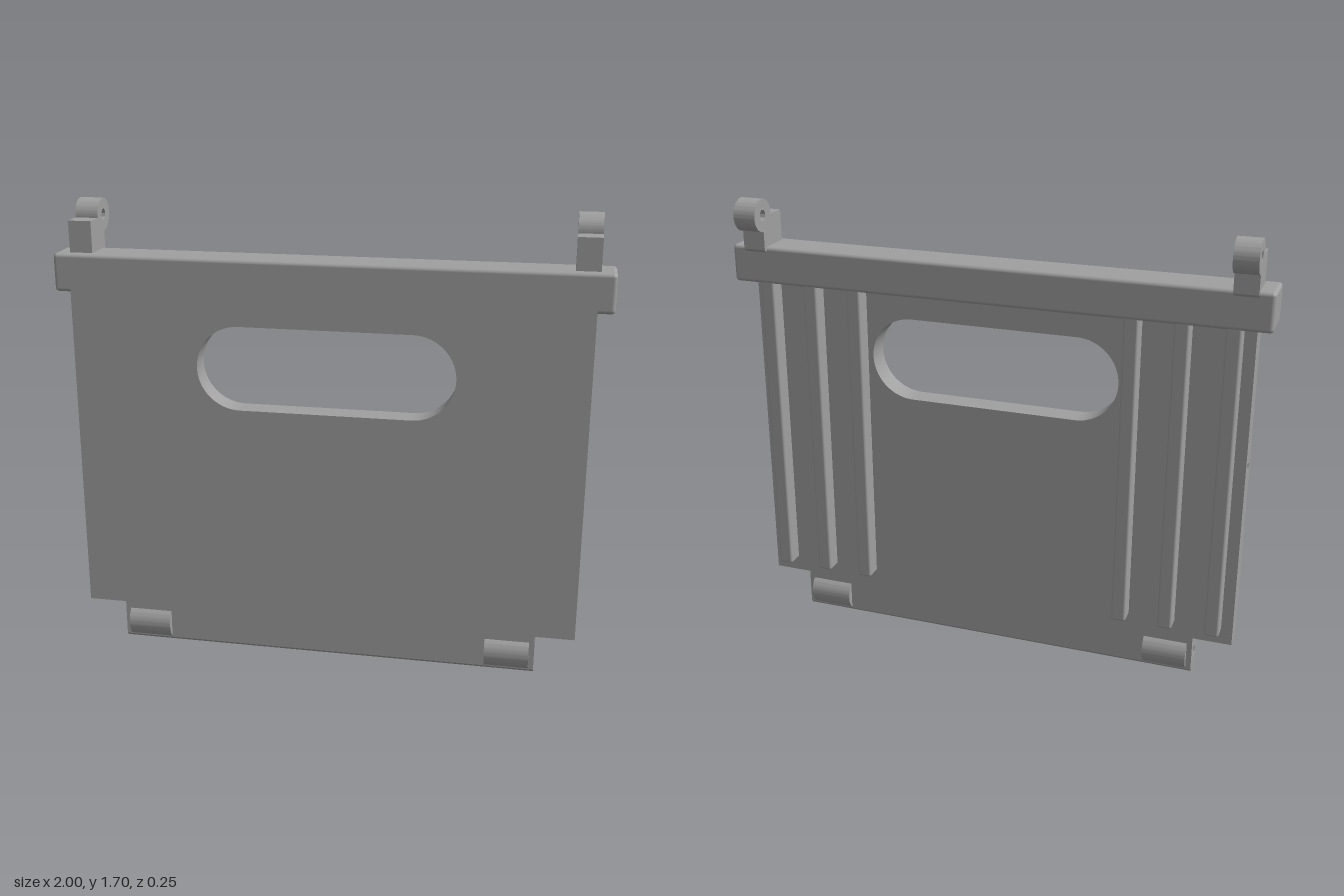
import * as THREE from 'three';
import { toCreasedNormals } from 'three/addons/utils/BufferGeometryUtils.js';
import { RoundedBoxGeometry } from 'three/addons/geometries/RoundedBoxGeometry.js';

const grey = new THREE.MeshStandardMaterial({ color: 0xa0a0a0 });
grey.name = 'plainGrey';

function polygon(points) {
  return new THREE.Shape(points.map(([x, y]) => new THREE.Vector2(x, y)));
}

function circleHole(u, v, r) {
  return new THREE.Path().absarc(u, v, r, 0, Math.PI * 2, true);
}

function extrude(shape, depth) {
  const geo = new THREE.ExtrudeGeometry(shape, { depth, bevelEnabled: false, curveSegments: 32 });
  return toCreasedNormals(geo, 0.5);
}

// Sweeps a side profile, drawn in (-z, y), from x0 to x1
function extrudeX(shape, x0, x1) {
  return extrude(shape, x1 - x0).rotateY(Math.PI / 2).translate(x0, 0, 0);
}

export function createModel() {
  const group = new THREE.Group();
  const add = (name, geometry) => {
    const mesh = new THREE.Mesh(geometry, grey);
    mesh.name = name;
    group.add(mesh);
    return mesh;
  };
  const front = 0.1, back = 0.01, pinZ = 0.055;

  // Main plate with the rounded handle slot
  const plate = polygon([[-0.86, 0.15], [0.86, 0.15], [0.86, 1.49], [-0.86, 1.49]]);
  const slot = new THREE.Path();
  slot.absarc(0.315, 1.122, 0.157, Math.PI / 2, -Math.PI / 2, true);
  slot.absarc(-0.315, 1.122, 0.157, -Math.PI / 2, -Math.PI * 1.5, true);
  slot.closePath();
  plate.holes.push(slot);
  add('panel', extrude(plate, front - back).translate(0, 0, back));

  // Foot strip with chamfered lower edges and a pin bore
  const foot = polygon([
    [-front + 0.012, 0], [-back - 0.012, 0], [-back, 0.012],
    [-back, 0.15], [-front, 0.15], [-front, 0.012],
  ]);
  foot.holes.push(circleHole(-pinZ, 0.07, 0.02));
  add('foot', extrudeX(foot, -0.795, 0.795));

  // Top rail
  add('topRail', new RoundedBoxGeometry(2, 0.14, 0.155, 3, 0.014).translate(0, 1.45, 0.0225));

  for (const side of [-1, 1]) {
    const label = side > 0 ? 'left' : 'right';
    const span = (a, b) => (side > 0 ? [a, b] : [-b, -a]);

    // Side edge of the panel with a small bore
    const edge = polygon([[-front, 0.15], [-back, 0.15], [-back, 1.49], [-front, 1.49]]);
    edge.holes.push(circleHole(-pinZ, 0.85, 0.018));
    add(label + 'PanelEdge', extrudeX(edge, ...span(0.86, 0.94)));

    // Roller through the foot
    const roller = new THREE.Shape().absarc(-pinZ, 0.07, 0.07, 0, Math.PI * 2, false);
    roller.holes.push(circleHole(-pinZ, 0.07, 0.02));
    add(label + 'Roller', extrudeX(roller, ...span(0.61, 0.775)));

    // Hinge block ending in an eye
    const hinge = new THREE.Shape();
    hinge.moveTo(-0.068, 1.5);
    hinge.lineTo(0.055, 1.5);
    hinge.lineTo(0.065, 1.51);
    hinge.lineTo(0.065, 1.58);
    hinge.absarc(0.065, 1.64, 0.06, -Math.PI / 2, Math.PI + 0.083, false);
    hinge.lineTo(-0.068, 1.635);
    hinge.closePath();
    hinge.holes.push(circleHole(0.065, 1.64, 0.02));
    add(label + 'Hinge', extrudeX(hinge, ...span(0.86, 0.945)));

    // Three upright ribs on the back
    for (let i = 0; i < 3; i++) {
      const rib = new RoundedBoxGeometry(0.055, 1.225, 0.09, 2, 0.009);
      add(label + 'Rib' + (i + 1), rib.translate(side * (0.52 + i * 0.175), 0.8175, -0.005));
    }
  }
  return group;
}
